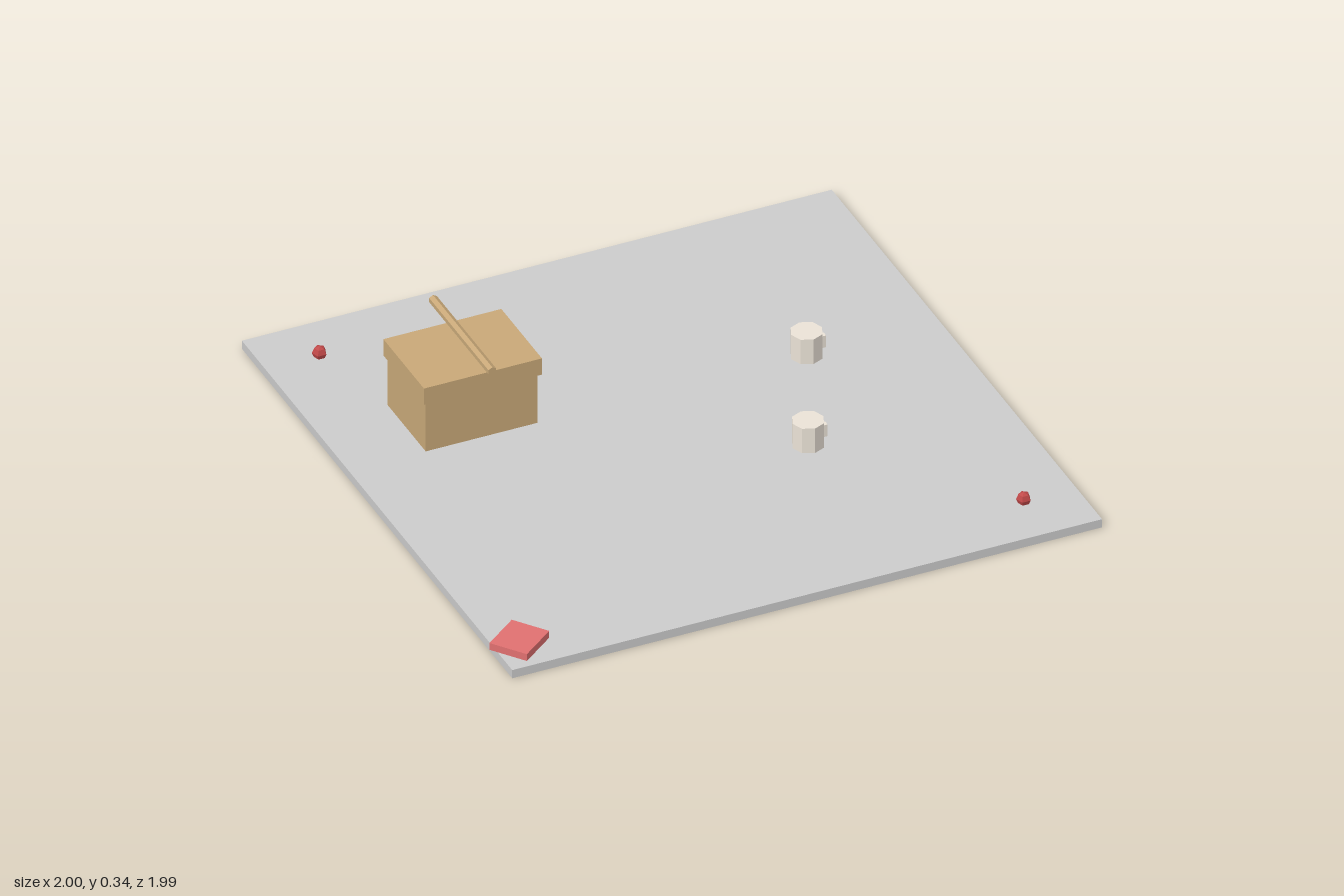
import * as THREE from 'three';

const paint = (color) => new THREE.MeshStandardMaterial({ color, flatShading: true });

function add(parent, name, geometry, material, x, y, z) {
  const mesh = new THREE.Mesh(geometry, material);
  mesh.name = name;
  mesh.position.set(x, y, z);
  parent.add(mesh);
  return mesh;
}

export function createModel() {
  const model = new THREE.Group();
  model.name = 'picnic';
  const grey = paint(0xcccccc);
  const wicker = paint(0xc8a878);
  const cream = paint(0xeae2d6);
  const red = paint(0xe07070);
  const berryRed = paint(0xc04848);
  const top = 0.03; // upper face of the blanket

  // Blanket
  add(model, 'blanket', new THREE.BoxGeometry(1.985, top, 1.985), grey, 0.0075, top / 2, 0);

  // Basket: body, overhanging lid and a six-sided handle bar floating above
  const basket = new THREE.Group();
  basket.name = 'basket';
  basket.position.set(-0.538, top, -0.347);
  model.add(basket);
  add(basket, 'basketBody', new THREE.BoxGeometry(0.377, 0.18, 0.28), wicker, 0, 0.09, 0);
  add(basket, 'basketLid', new THREE.BoxGeometry(0.397, 0.06, 0.298), wicker, 0, 0.21, 0);
  const bar = new THREE.CylinderGeometry(0.015, 0.015, 0.436, 6).rotateX(Math.PI / 2);
  add(basket, 'basketHandle', bar, wicker, 0, 0.29, 0);

  // Two cups, each with a small block handle on the +x side
  for (const [x, z] of [[0.552, -0.2], [0.353, 0.245]]) {
    const cup = new THREE.Group();
    cup.name = 'cup';
    cup.position.set(x, top, z);
    model.add(cup);
    add(cup, 'cupBody', new THREE.CylinderGeometry(0.052, 0.052, 0.09, 8), cream, 0, 0.045, 0);
    add(cup, 'cupHandle', new THREE.BoxGeometry(0.02, 0.043, 0.018), cream, 0.052, 0.04, 0);
  }

  // Folded napkin turned on the corner
  const napkin = new THREE.BoxGeometry(0.145, 0.025, 0.13);
  add(model, 'napkin', napkin, red, -0.905, top + 0.0125, 0.87).rotation.y = 0.65;

  // Five-sided berries, slightly sunk into the blanket
  for (const [x, z] of [[0.82, 0.81], [-0.805, -0.815]]) {
    const berry = new THREE.SphereGeometry(0.024, 5, 4).rotateY(-Math.PI / 2);
    add(model, 'berry', berry, berryRed, x, top + 0.015, z);
  }
  return model;
}
